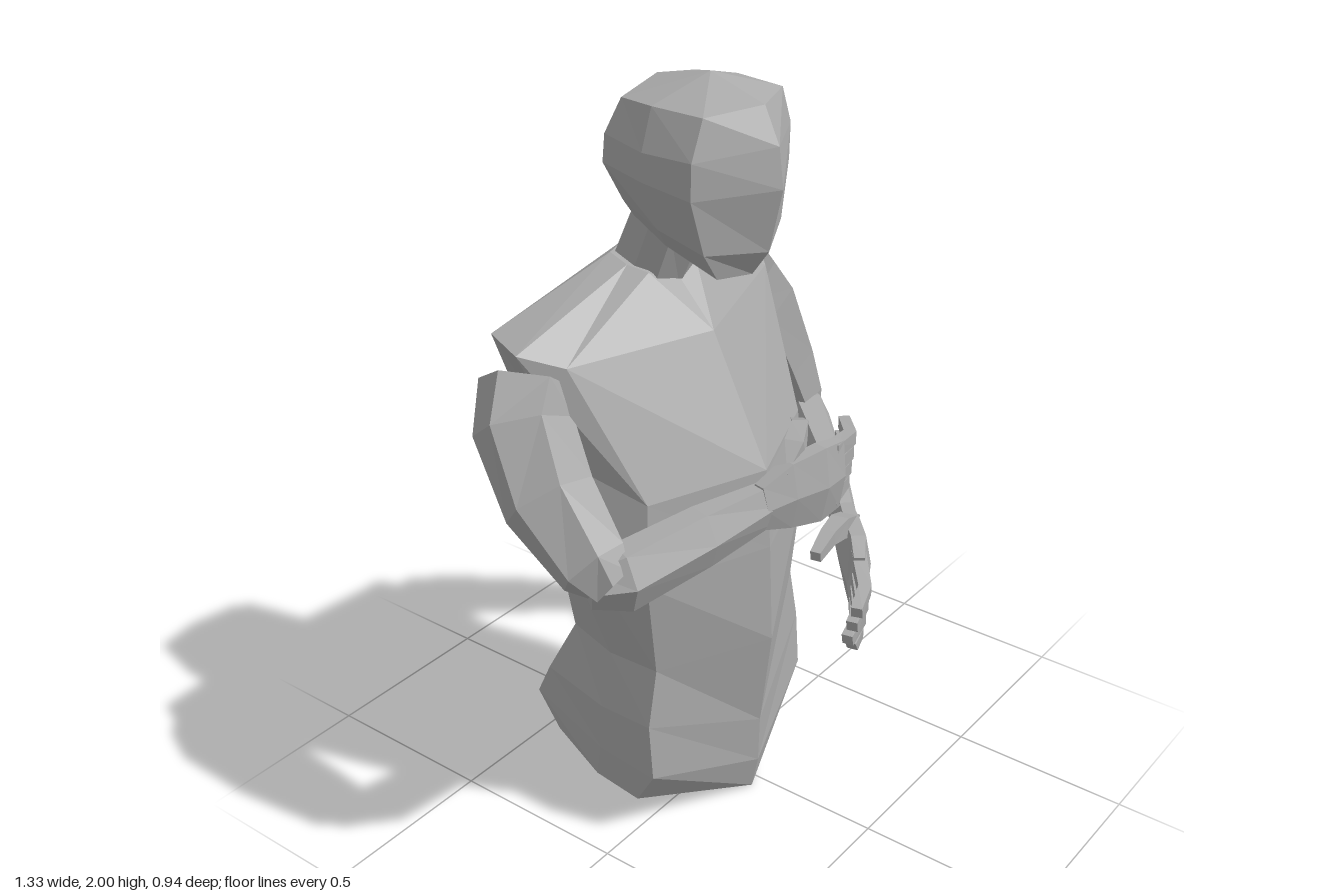
import * as THREE from 'three';

const skin = new THREE.MeshStandardMaterial({ color: 0xaaaaaa, flatShading: true });
skin.name = 'plain grey';

// Skin a list of closed rings (counter-clockwise about the travel direction)
function loft(name, rings, startTip, endTip) {
  const pos = [];
  const tri = (a, b, c) => pos.push(...a, ...b, ...c);
  const n = rings[0].length;
  const mid = (r) => [0, 1, 2].map((k) => r.reduce((s, p) => s + p[k], 0) / n);
  const first = rings[0], last = rings[rings.length - 1];
  const s = startTip || mid(first), e = endTip || mid(last);
  for (let j = 0; j < n; j++) {
    const k = (j + 1) % n;
    tri(first[k], first[j], s);
    tri(last[j], last[k], e);
    for (let i = 0; i < rings.length - 1; i++) {
      const a = rings[i], b = rings[i + 1];
      // mirrored diagonals keep the two halves symmetrical
      if (j < n / 2) { tri(a[j], a[k], b[k]); tri(a[j], b[k], b[j]); }
      else { tri(a[j], a[k], b[j]); tri(a[k], b[k], b[j]); }
    }
  }
  const g = new THREE.BufferGeometry();
  g.setAttribute('position', new THREE.Float32BufferAttribute(pos, 3));
  g.computeVertexNormals();
  const m = new THREE.Mesh(g, skin);
  m.name = name;
  return m;
}

// Half section (front centre, front side, side, back side, back centre) mirrored to a ring
function mirrorRing(cx, half) {
  const left = half.map(([x, y, z]) => [cx + x, y, z]);
  const right = half.slice(1, -1).reverse().map(([x, y, z]) => [cx - x, y, z]);
  return [...left, ...right];
}

// Limb through nodes [x, y, z, radius along ref, radius across]
function limb(name, nodes, sides = 6, ref = [0, 1, 0]) {
  const P = nodes.map((n) => new THREE.Vector3(n[0], n[1], n[2]));
  const rings = nodes.map((n, i) => {
    const t = P[Math.min(i + 1, P.length - 1)].clone().sub(P[Math.max(i - 1, 0)]).normalize();
    const u = new THREE.Vector3(...ref);
    u.addScaledVector(t, -t.dot(u)).normalize();
    const v = t.clone().cross(u);
    return Array.from({ length: sides }, (_, j) => {
      const a = ((j + 0.5) / sides) * Math.PI * 2;
      return P[i].clone().addScaledVector(u, n[3] * Math.cos(a)).addScaledVector(v, n[4] * Math.sin(a)).toArray();
    });
  });
  return loft(name, rings);
}

// Four fingers, each [base, knuckle, tip]
function fingers(name, list) {
  const g = new THREE.Group();
  g.name = name;
  list.forEach((pts, i) => g.add(limb('finger' + (i + 1),
    pts.map((p, k) => [...p, 0.029 - 0.003 * k, 0.027 - 0.003 * k]), 4)));
  return g;
}

export function createModel() {
  const model = new THREE.Group();
  model.name = 'mannequinBust';
  const cx = -0.04;

  // Torso from hips to collar
  model.add(loft('torso', [
    [[0, 0, 0.14], [0.33, 0.1, 0], [0.33, 0.12, -0.14], [0.31, 0.19, -0.29], [0, 0.08, -0.37]],
    [[0, 0.1, 0.16], [0.335, 0.2, 0.06], [0.335, 0.22, -0.12], [0.31, 0.29, -0.36], [0, 0.17, -0.465]],
    [[0, 0.24, 0.165], [0.335, 0.36, 0.05], [0.335, 0.36, -0.11], [0.305, 0.38, -0.32], [0, 0.33, -0.385]],
    [[0, 0.52, 0.2], [0.30, 0.52, 0.05], [0.305, 0.52, -0.1], [0.27, 0.53, -0.25], [0, 0.54, -0.3]],
    [[0, 0.8, 0.19], [0.34, 0.8, 0.06], [0.37, 0.82, -0.1], [0.31, 0.86, -0.28], [0, 0.9, -0.375]],
    [[0, 1.02, 0.175], [0.32, 1.02, 0.05], [0.39, 1.1, -0.1], [0.36, 1.2, -0.31], [0, 1.24, -0.395]],
    [[0, 1.36, 0.01], [0.4, 1.37, -0.12], [0.475, 1.405, -0.21], [0.43, 1.415, -0.33], [0, 1.46, -0.32]],
    [[0, 1.47, -0.09], [0.09, 1.51, -0.12], [0.1, 1.52, -0.18], [0.08, 1.53, -0.25], [0, 1.53, -0.275]],
  ].map((h) => mirrorRing(cx, h)), [cx, 0.03, -0.12]));

  // Neck leaning forward
  model.add(loft('neck', [
    [[0, 1.45, -0.1], [0.08, 1.46, -0.12], [0.095, 1.48, -0.18], [0.07, 1.5, -0.26], [0, 1.5, -0.28]],
    [[0, 1.6, -0.03], [0.08, 1.61, -0.06], [0.09, 1.63, -0.12], [0.07, 1.67, -0.18], [0, 1.68, -0.2]],
  ].map((h) => mirrorRing(cx + 0.005, h))));

  // Faceless head, tilted slightly to its left
  model.add(loft('head', [
    [[0, 1.535, 0.12], [0.1, 1.545, 0.09], [0.13, 1.61, -0.04], [0.1, 1.65, -0.16], [0, 1.66, -0.2]],
    [[0, 1.6, 0.165], [0.155, 1.62, 0.09], [0.165, 1.66, -0.04], [0.12, 1.69, -0.18], [0, 1.7, -0.215]],
    [[0, 1.76, 0.2], [0.195, 1.76, 0.08], [0.2, 1.78, -0.06], [0.165, 1.79, -0.205], [0, 1.79, -0.245]],
    [[0, 1.86, 0.185], [0.195, 1.85, 0.08], [0.2, 1.85, -0.06], [0.165, 1.86, -0.2], [0, 1.87, -0.24]],
    [[0, 1.95, 0.14], [0.155, 1.945, 0.08], [0.165, 1.95, -0.06], [0.14, 1.945, -0.17], [0, 1.97, -0.175]],
  ].map((h, i) => mirrorRing(-0.032 + 0.004 * i, h)), [-0.03, 1.58, -0.04], [-0.01, 2, -0.02]));

  // Right arm, folded across the chest
  const rightArm = new THREE.Group();
  rightArm.name = 'rightArm';
  rightArm.add(
    limb('upperArm', [
      [-0.455, 1.305, -0.23, 0.12, 0.125], [-0.515, 1.225, -0.2, 0.125, 0.12],
      [-0.555, 1.08, -0.09, 0.12, 0.115], [-0.575, 0.96, 0.06, 0.095, 0.09], [-0.565, 0.92, 0.11, 0.06, 0.06],
    ], 6, [0, 0, 1]),
    limb('forearm', [
      [-0.6, 0.92, 0.06, 0.06, 0.05], [-0.53, 0.925, 0.11, 0.09, 0.07],
      [-0.3, 0.95, 0.17, 0.085, 0.06], [-0.09, 0.97, 0.225, 0.065, 0.035],
    ]),
    limb('palm', [
      [-0.13, 0.97, 0.22, 0.07, 0.032], [-0.04, 0.975, 0.24, 0.105, 0.04],
      [0.06, 0.97, 0.265, 0.12, 0.04], [0.14, 0.965, 0.27, 0.11, 0.028],
    ]),
    limb('thumb', [
      [-0.05, 1.02, 0.23, 0.05, 0.035], [0.02, 1.075, 0.22, 0.038, 0.035],
      [0.09, 1.09, 0.185, 0.028, 0.03], [0.15, 1.06, 0.135, 0.022, 0.022],
    ], 4),
    fingers('fingers', [1.04, 0.995, 0.95, 0.905].map((y, i) => [
      [0.11, y, 0.27], [0.21, y - 0.005, 0.26 - i * 0.005], [0.29 - i * 0.015, y - 0.015 + i * 0.01, 0.19],
    ])),
  );

  // Left arm, forearm held lower and forward
  const leftArm = new THREE.Group();
  leftArm.name = 'leftArm';
  leftArm.add(
    limb('upperArm', [
      [0.375, 1.31, -0.23, 0.115, 0.125], [0.445, 1.22, -0.22, 0.115, 0.12],
      [0.54, 1.01, -0.2, 0.105, 0.1], [0.585, 0.88, -0.185, 0.1, 0.08], [0.605, 0.8, -0.165, 0.07, 0.055],
    ], 6, [0, 0, 1]),
    limb('forearm', [
      [0.61, 0.84, -0.2, 0.07, 0.06], [0.575, 0.825, -0.12, 0.085, 0.07],
      [0.43, 0.78, 0.05, 0.08, 0.055], [0.27, 0.735, 0.22, 0.06, 0.035],
    ]),
    limb('palm', [
      [0.29, 0.74, 0.2, 0.065, 0.032], [0.235, 0.71, 0.255, 0.1, 0.04],
      [0.17, 0.69, 0.32, 0.12, 0.04], [0.11, 0.675, 0.365, 0.11, 0.028],
    ]),
    limb('thumb', [
      [0.24, 0.75, 0.25, 0.05, 0.035], [0.15, 0.8, 0.275, 0.038, 0.035],
      [0.07, 0.815, 0.295, 0.028, 0.028], [-0.01, 0.8, 0.31, 0.02, 0.02],
    ], 4),
    fingers('fingers', [0, 1, 2, 3].map((i) => [
      [0.13, 0.75 - i * 0.046, 0.35], [0.04, 0.72 - i * 0.046, 0.43 - i * 0.006],
      [-0.035 + (i === 3 ? 0.04 : 0), 0.7 - i * 0.046, 0.455 - i * 0.012],
    ])),
  );

  model.add(rightArm, leftArm);
  return model;
}
